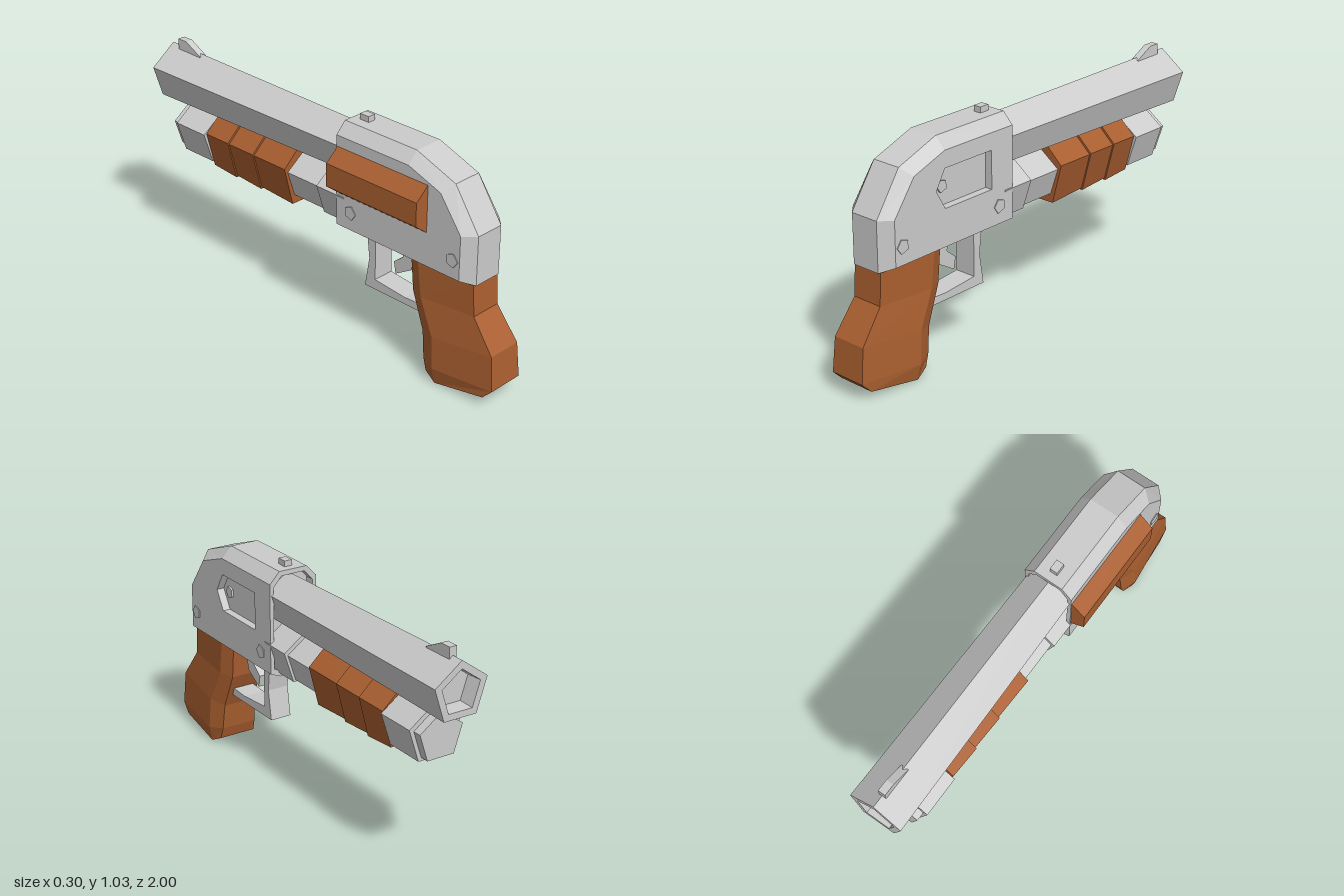
import * as THREE from 'three';

const metal = new THREE.MeshStandardMaterial({ color: 0xcccccc, flatShading: true });
const wood = new THREE.MeshStandardMaterial({ color: 0xaa5f30, flatShading: true });

function addMesh(parent, name, geometry, material = metal) {
  const m = new THREE.Mesh(geometry, material);
  m.name = name;
  parent.add(m);
  return m;
}

// Joins rings of [x, y, z] points into a flat-faced skin with end caps, turned outward.
function loft(rings, { skip = () => false, capStart = true, capEnd = true, inside = false } = {}) {
  const tris = [];
  const n = rings[0].length;
  rings.slice(1).forEach((b, k) => {
    const a = rings[k];
    for (let i = 0; i < n; i++) {
      if (skip(k, i)) continue;
      const j = (i + 1) % n;
      tris.push([a[i], a[j], b[j]], [a[i], b[j], b[i]]);
    }
  });
  const cap = (r, reverse) => {
    for (let i = 0; i < Math.floor((n - 1) / 2); i++) {
      const p = n - 2 - i, q = n - 1 - i;
      const faces = [[r[i], r[p], r[q]]];
      if (i + 1 < p) faces.push([r[i], r[i + 1], r[p]]);
      faces.forEach((f) => tris.push(reverse ? f.reverse() : f));
    }
  };
  if (capStart) cap(rings[0], true);
  if (capEnd) cap(rings[rings.length - 1], false);

  // signed volume about the centre tells which way the faces point
  const all = rings.flat().map((p) => new THREE.Vector3(...p));
  const centre = all.reduce((s, p) => s.add(p), new THREE.Vector3()).divideScalar(all.length);
  let volume = 0;
  for (const t of tris) {
    const [a, b, c] = t.map((p) => new THREE.Vector3(...p).sub(centre));
    volume += a.dot(b.cross(c));
  }
  if ((volume < 0) !== inside) tris.forEach((t) => t.reverse());
  const g = new THREE.BufferGeometry();
  g.setAttribute('position', new THREE.Float32BufferAttribute(tris.flat(2), 3));
  g.computeVertexNormals();
  return g;
}

// Five-sided ring, point up, across z.
const pentagon = (z, cy, rx, ry = rx) => Array.from({ length: 5 }, (_, i) => {
  const a = (i * 2 * Math.PI) / 5;
  return [rx * Math.sin(a), cy + ry * Math.cos(a), z];
});

// Side outline given as [z, y] points.
const outline = (pts) => new THREE.Shape(pts.map(([z, y]) => new THREE.Vector2(-z, y)));

// Side outline given thickness across x, centred.
const plate = (pts, width) =>
  new THREE.ExtrudeGeometry(outline(pts), { depth: width, bevelEnabled: false })
    .rotateY(Math.PI / 2).translate(-width / 2, 0, 0);

function buildReceiver(parent) {
  const group = new THREE.Group();
  group.name = 'receiver';
  parent.add(group);
  const W = 0.116, w = 0.068;

  // chamfered cross-section: side top, ridge top, bottom edge, side bottom as [z, y]
  const section = (sideTop, top, bottom, sideBottom) => {
    const p = (x, [z, y]) => [x, y, z];
    return [p(W, sideTop), p(w, top), p(-w, top), p(-W, sideTop),
      p(-W, sideBottom), p(-w, bottom), p(w, bottom), p(W, sideBottom)];
  };
  const front = section([0.155, 0.95], [0.155, 1], [0.155, 0.52], [0.155, 0.54]);
  const inset = (z) => front.map(([x, y]) => [x * 0.84, 0.76 + (y - 0.76) * 0.91, z]);
  const rings = [
    inset(0.2), inset(0.155), front,
    section([0.55, 0.95], [0.55, 1], [0.55, 0.52], [0.55, 0.54]),
    section([0.72, 0.89], [0.755, 0.925], [0.755, 0.52], [0.72, 0.54]),
    section([0.83, 0.74], [0.88, 0.74], [0.88, 0.52], [0.83, 0.54]),
  ];
  addMesh(group, 'receiverBody', loft(rings, { skip: (k, i) => k >= 2 && i === 7 }));

  // side panel with the ejection port cut through it
  const port = [[0.28, 0.705], [0.28, 0.875], [0.55, 0.875], [0.6, 0.79], [0.55, 0.705]];
  const panel = outline([[0.155, 0.54], [0.155, 0.95], [0.55, 0.95], [0.72, 0.89], [0.83, 0.74], [0.83, 0.54]]);
  panel.holes.push(new THREE.Path(outline(port).getPoints()));
  addMesh(group, 'portPanel', new THREE.ShapeGeometry(panel).rotateY(Math.PI / 2).translate(W, 0, 0));
  const portRing = (x) => port.map(([z, y]) => [x, y, z]);
  addMesh(group, 'portRecess', loft([portRing(W), portRing(W - 0.035)], { capStart: false, inside: true }));

  // pins on both sides and one in the port
  const pin = (x, y, z, r) => {
    const m = addMesh(group, 'pin', new THREE.CylinderGeometry(r, r, 0.012, 5));
    m.rotation.z = Math.PI / 2;
    m.position.set(x, y, z);
  };
  for (const s of [1, -1]) for (const z of [0.235, 0.79]) pin(s * (W - 0.002), 0.62, z, 0.032);
  pin(W - 0.032, 0.79, 0.54, 0.028);

  const sight = addMesh(group, 'rearSight', new THREE.BoxGeometry(0.036, 0.04, 0.048));
  sight.position.set(0, 1.006, 0.216);

  // tapered box along the right-hand side
  const box = (z) => [[-W, 0.9, z], [-W, 0.69, z], [-0.181, 0.74, z], [-0.181, 0.845, z]];
  addMesh(group, 'sideShellHolder', loft([box(0.16), box(0.655)]), wood);
}

function buildBarrel(parent) {
  addMesh(parent, 'barrel', loft([
    pentagon(-0.93, 0.86, 0.09), pentagon(-1, 0.86, 0.095),
    pentagon(-1, 0.86, 0.13), pentagon(0.2, 0.862, 0.113),
  ]));
  addMesh(parent, 'frontSight', plate(
    [[-0.8, 0.965], [-0.8, 0.98], [-0.89, 1.026], [-0.943, 1.026], [-0.943, 0.965]], 0.034));
}

function buildMagazine(parent) {
  addMesh(parent, 'magazineTube', loft([pentagon(0.2, 0.632, 0.108), pentagon(-0.89, 0.632, 0.108)]));
  addMesh(parent, 'magazineCollar', loft([pentagon(0.2, 0.638, 0.125), pentagon(0.04, 0.638, 0.125)]));
  addMesh(parent, 'magazineCap', loft([pentagon(-0.665, 0.635, 0.13), pentagon(-0.85, 0.635, 0.13)]));

  // pump handle: three slightly tapered segments
  const cuts = [-0.15, -0.35, -0.51, -0.66];
  for (let i = 0; i < 3; i++) {
    addMesh(parent, 'pumpSegment', loft([
      pentagon(cuts[i], 0.635, 0.127, 0.162), pentagon(cuts[i + 1], 0.633, 0.119, 0.15),
    ]), wood);
  }
}

function buildGrip(parent) {
  // each row: back, widest side, front as [z, y, half width]
  const rows = [
    [[0.87, 0.53, 0.073], [0.6, 0.53, 0.1], [0.54, 0.53, 0.073]],
    [[0.88, 0.38, 0.073], [0.62, 0.375, 0.1], [0.555, 0.37, 0.073]],
    [[0.985, 0.24, 0.08], [0.695, 0.22, 0.111], [0.62, 0.205, 0.08]],
    [[1, 0.085, 0.085], [0.705, 0.075, 0.116], [0.633, 0.085, 0.085]],
    [[0.955, 0.04, 0.088], [0.71, 0, 0.1], [0.65, 0.03, 0.088]],
  ];
  const rings = rows.map((row) => [
    ...row.map(([z, y, x]) => [-x, y, z]),
    ...row.map(([z, y, x]) => [x, y, z]).reverse(),
  ]);
  addMesh(parent, 'grip', loft(rings), wood);
}

function buildTrigger(parent) {
  addMesh(parent, 'trigger', plate(
    [[0.53, 0.53], [0.495, 0.415], [0.41, 0.365], [0.4, 0.42], [0.45, 0.46], [0.44, 0.53]], 0.045));
  addMesh(parent, 'triggerGuard', plate(
    [[0.27, 0.53], [0.285, 0.4], [0.263, 0.263], [0.63, 0.263], [0.63, 0.31], [0.59, 0.3],
      [0.49, 0.295], [0.32, 0.31], [0.32, 0.53]], 0.1));
}

export function createModel() {
  const model = new THREE.Group();
  model.name = 'shotgun';
  const body = new THREE.Group();
  body.name = 'body';
  body.position.x = 0.029;
  model.add(body);
  [buildReceiver, buildBarrel, buildMagazine, buildGrip, buildTrigger].forEach((build) => build(body));
  return model;
}
